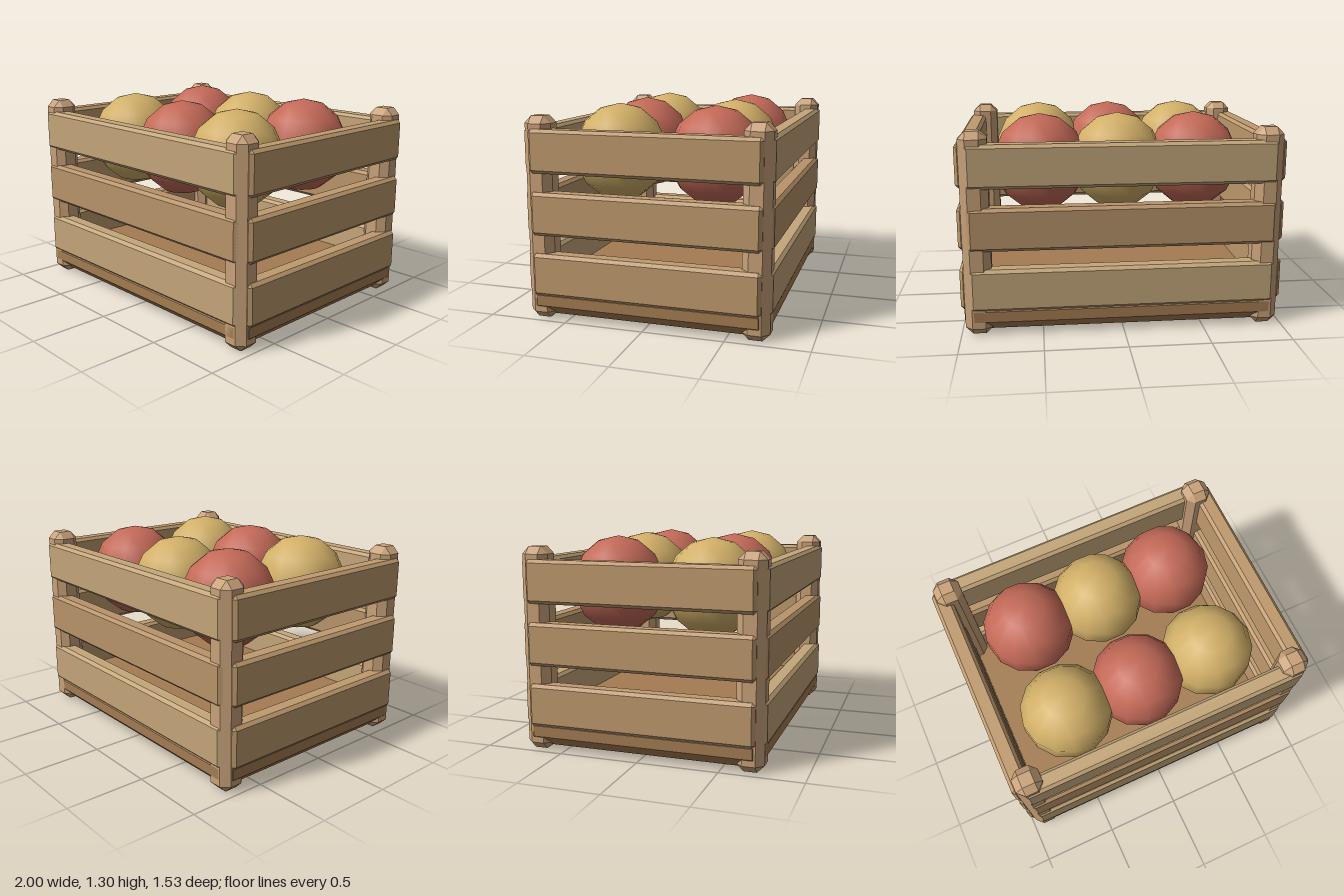
import * as THREE from 'three';
import { ConvexGeometry } from 'three/addons/geometries/ConvexGeometry.js';

const paint = (color, flatShading = true) => {
  const m = new THREE.MeshStandardMaterial({ flatShading });
  m.color.set(color);
  return m;
};

// Box with every edge cut by a chamfer of width b
function chamferBox(w, h, d, b) {
  const half = [w / 2, h / 2, d / 2];
  const points = [];
  for (const sx of [-1, 1]) for (const sy of [-1, 1]) for (const sz of [-1, 1]) {
    const s = [sx, sy, sz];
    for (let face = 0; face < 3; face++) {
      const c = half.map((v, i) => s[i] * (i === face ? v : v - b));
      points.push(new THREE.Vector3(...c));
    }
  }
  return new ConvexGeometry(points);
}

export function createModel() {
  const crate = new THREE.Group();
  crate.name = 'fruitCrate';

  const postWood = paint(0xc9a27a);
  const baseWood = paint(0xa47c52);
  const sideWood = paint(0xbf9a6e);
  const paleWood = paint(0xc4a67a);
  const darkWood = paint(0xb8946a);
  const red = paint(0xc46a58, false);
  const yellow = paint(0xd2b068, false);

  const add = (name, geometry, material, x, y, z) => {
    const mesh = new THREE.Mesh(geometry, material);
    mesh.name = name;
    mesh.position.set(x, y, z);
    crate.add(mesh);
  };

  // Floor slab
  add('base', chamferBox(1.96, 0.19, 1.51, 0.062), baseWood, 0, 0.12, 0);

  // Corner posts
  const post = chamferBox(0.17, 1.255, 0.17, 0.045);
  for (const x of [-0.89, 0.89]) for (const z of [-0.67, 0.67]) {
    add('cornerPost', post, postWood, x, 0.6275, z);
  }

  // Three rows of slats on all four sides
  const longSlat = chamferBox(1.88, 0.265, 0.115, 0.02);
  const shortSlat = chamferBox(0.115, 0.265, 1.42, 0.02);
  [0.2875, 0.6675, 1.0475].forEach((y, row) => {
    for (const s of [-1, 1]) {
      add(s > 0 ? 'frontSlat' : 'backSlat', longSlat, row === 1 ? darkWood : paleWood, 0, y, s * 0.7075);
      add(s > 0 ? 'leftSlat' : 'rightSlat', shortSlat, sideWood, s * 0.9425, y, 0);
    }
  });

  // Two rows of fruit in alternating colours
  const fruit = new THREE.SphereGeometry(1, 14, 7).scale(0.298, 0.31, 0.298);
  [-0.315, 0.315].forEach((z, row) => {
    [-0.495, 0, 0.495].forEach((x, col) => {
      const isRed = (row + col) % 2 === 0;
      add(isRed ? 'redFruit' : 'yellowFruit', fruit, isRed ? red : yellow, x, 0.995, z);
    });
  });

  return crate;
}
